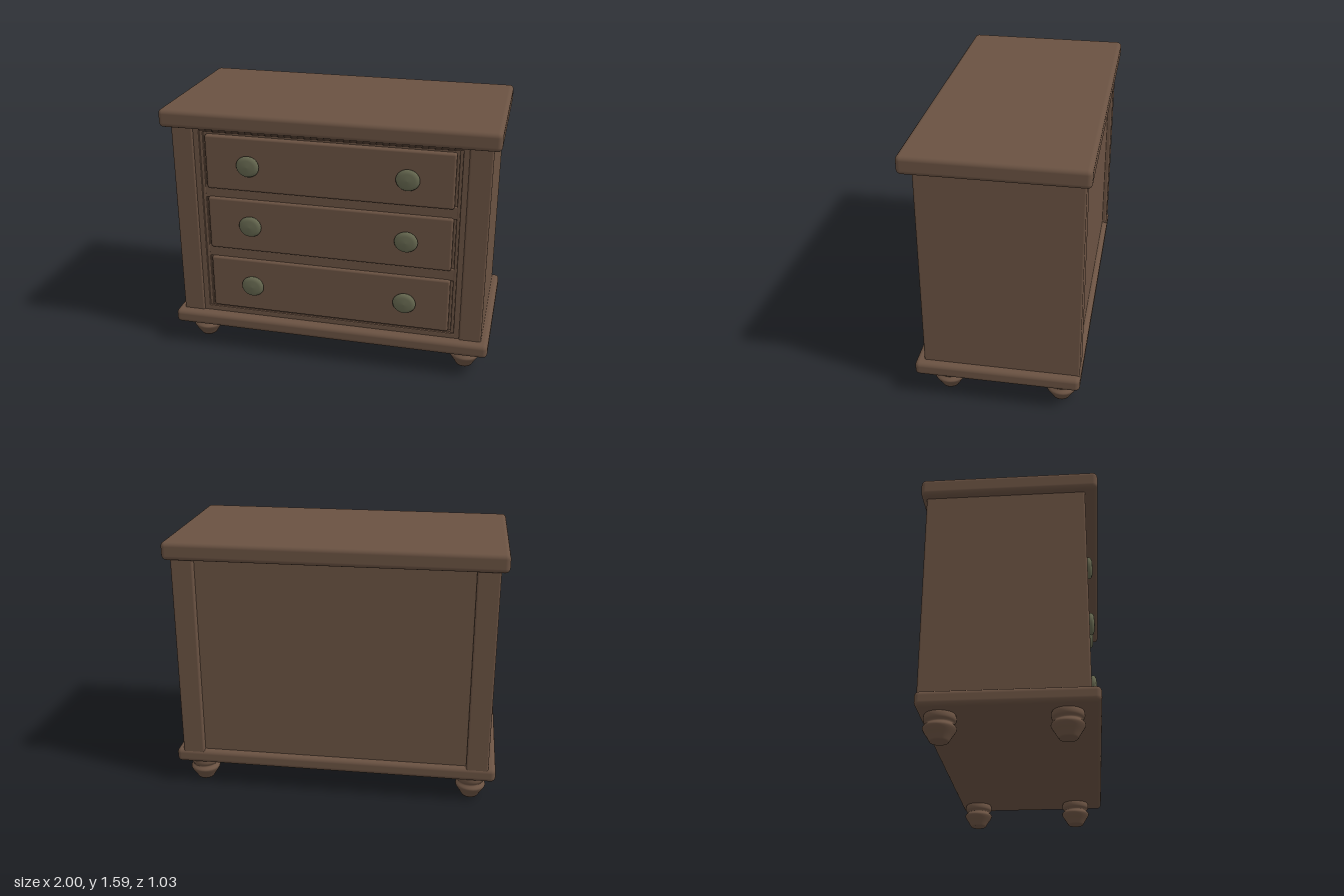
import * as THREE from 'three';
import { RoundedBoxGeometry } from 'three/addons/geometries/RoundedBoxGeometry.js';

export function createModel() {
  const model = new THREE.Group();
  model.name = 'chestOfDrawers';
  const wood = new THREE.MeshStandardMaterial({ name: 'brownWood', color: 0x6a5242 });
  const metal = new THREE.MeshStandardMaterial({ name: 'agedBrass', color: 0x666850 });

  const add = (name, geometry, material = wood) => {
    const mesh = new THREE.Mesh(geometry, material);
    mesh.name = name;
    model.add(mesh);
    return mesh;
  };
  // Rounded block given by its limits on each axis
  const block = (name, [x0, x1], [y0, y1], [z0, z1], r) => {
    const mesh = add(name, new RoundedBoxGeometry(x1 - x0, y1 - y0, z1 - z0, 3, r));
    mesh.position.set((x0 + x1) / 2, (y0 + y1) / 2, (z0 + z1) / 2);
    return mesh;
  };

  // Top, base and carcass with a recessed back
  block('top', [-1, 1], [1.48, 1.59], [-0.515, 0.515], 0.028);
  block('base', [-1, 1], [0.15, 0.238], [-0.49, 0.49], 0.028);
  block('carcass', [-0.84, 0.84], [0.2, 1.52], [-0.455, 0.405], 0.005);

  // Side panels, wide enough to form the corner stiles
  for (const s of [-1, 1]) {
    const xs = s > 0 ? [0.82, 0.955] : [-0.955, -0.82];
    block(s > 0 ? 'leftSide' : 'rightSide', xs, [0.2, 1.51], [-0.485, 0.44], 0.012);
  }

  // Stepped frame round the drawers
  const frame = (name, x, y0, y1, w, z) => {
    const shape = new THREE.Shape([[-x, y0], [x, y0], [x, y1], [-x, y1]].map(p => new THREE.Vector2(...p)));
    shape.holes.push(new THREE.Path([[-x + w, y0 + w], [-x + w, y1 - w], [x - w, y1 - w], [x - w, y0 + w]]
      .map(p => new THREE.Vector2(...p))));
    const g = new THREE.ExtrudeGeometry(shape, {
      depth: z - 0.39, bevelEnabled: true, bevelThickness: 0.006, bevelSize: 0.006, bevelOffset: -0.006, bevelSegments: 2
    });
    add(name, g).position.z = 0.384;
  };
  frame('outerFrame', 0.825, 0.23, 1.49, 0.04, 0.43);
  frame('innerFrame', 0.79, 0.255, 1.465, 0.025, 0.418);

  // Rails between drawers
  for (const y of [0.66, 1.06]) block('rail', [-0.785, 0.785], [y - 0.04, y + 0.04], [0.36, 0.416], 0.008);

  // Drawers with a pair of rounded knobs each
  const knob = new THREE.LatheGeometry(
    [[0, 0], [0.052, 0], [0.066, 0.009], [0.071, 0.021], [0.064, 0.034], [0.045, 0.04], [0, 0.043]]
      .map(p => new THREE.Vector2(...p)), 28);
  knob.rotateX(Math.PI / 2);
  knob.scale(1, 0.93, 1);
  const rows = [[0.28, 0.628, 0.455], [0.692, 1.03, 0.865], [1.088, 1.428, 1.255]];
  for (const [y0, y1, knobY] of rows) {
    block('drawer', [-0.75, 0.75], [y0, y1], [0.34, 0.436], 0.014);
    for (const x of [-0.48, 0.48]) add('knob', knob, metal).position.set(x, knobY, 0.432);
  }

  // Turned feet
  const curve = new THREE.SplineCurve([[0.055, 0.008], [0.068, 0.03], [0.09, 0.065], [0.091, 0.08], [0.078, 0.095],
    [0.079, 0.104], [0.089, 0.118], [0.089, 0.14], [0.08, 0.16]].map(p => new THREE.Vector2(...p)));
  const foot = new THREE.LatheGeometry(
    [new THREE.Vector2(0, 0), new THREE.Vector2(0.05, 0), ...curve.getPoints(28)], 28);
  for (const x of [-0.852, 0.852])
    for (const z of [-0.37, 0.31]) add('foot', foot).position.set(x, 0, z);

  return model;
}
